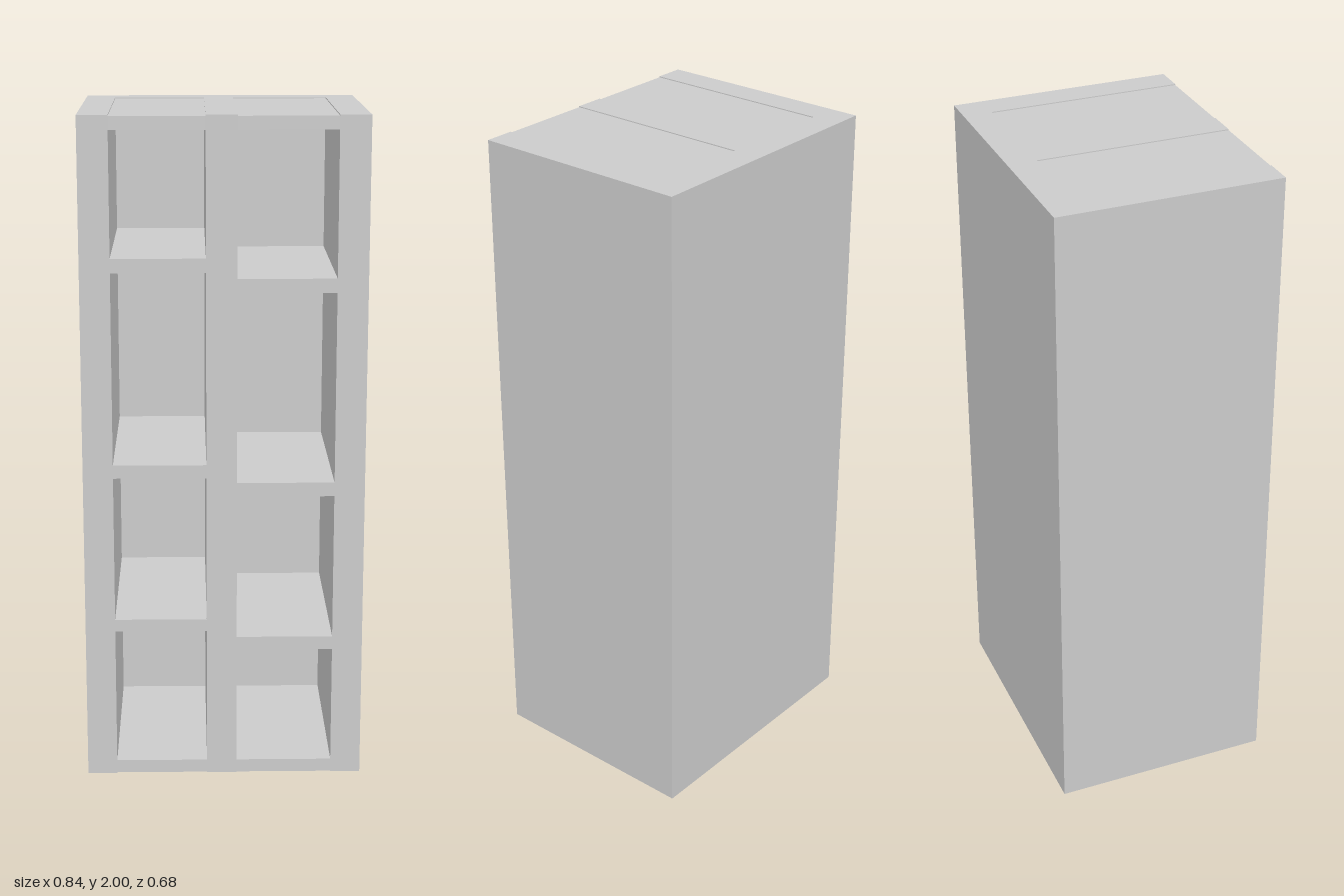
import * as THREE from 'three';

const W = 0.832, H = 2, D = 0.672;      // outer size of the case
const BACK = 0.087;                     // thickness of the solid back
const material = new THREE.MeshStandardMaterial({ color: 0xcccccc, flatShading: true });

// Box given by its lower and upper limits on each axis
function block(name, [x0, x1], [y0, y1], [z0, z1]) {
  const mesh = new THREE.Mesh(new THREE.BoxGeometry(x1 - x0, y1 - y0, z1 - z0), material);
  mesh.position.set((x0 + x1) / 2, (y0 + y1) / 2, (z0 + z1) / 2);
  mesh.name = name;
  return mesh;
}

// Each column: its width limits and the bottom and top of every shelf board,
// with the top and base boards set slightly inside the case
const columns = [
  {
    name: 'rightColumn', x: [-0.327, -0.052],
    boards: [[0.002, 0.042], [0.461, 0.499], [0.94, 0.98], [1.551, 1.593], [1.958, 1.997]],
  },
  {
    name: 'leftColumn', x: [0.038, 0.326],
    boards: [[0.002, 0.042], [0.401, 0.442], [0.883, 0.925], [1.493, 1.534], [1.958, 1.997]],
  },
];

export function createModel() {
  const bookcase = new THREE.Group();
  bookcase.name = 'bookcase';
  const back = -D / 2, front = D / 2, inner = back + BACK;

  // Full-height uprights: two sides and the divider
  const [a, b] = columns;
  bookcase.add(
    block('rightSide', [-W / 2, a.x[0]], [0, H], [back, front]),
    block('divider', [a.x[1], b.x[0]], [0, H], [back, front]),
    block('leftSide', [b.x[1], W / 2], [0, H], [back, front]),
  );

  // Back panel and staggered shelves of each column
  for (const { name, x, boards } of columns) {
    const column = new THREE.Group();
    column.name = name;
    column.add(block('backPanel', x, [0, H], [back, inner]));
    boards.forEach((y, i) => {
      const part = i === 0 ? 'baseBoard' : i === boards.length - 1 ? 'topBoard' : 'shelf';
      column.add(block(part, x, y, [inner, front]));
    });
    bookcase.add(column);
  }

  // The case stands turned very slightly about its upright axis
  bookcase.rotation.y = 0.013;
  const model = new THREE.Group();
  model.name = 'shelfUnit';
  model.add(bookcase);
  return model;
}
